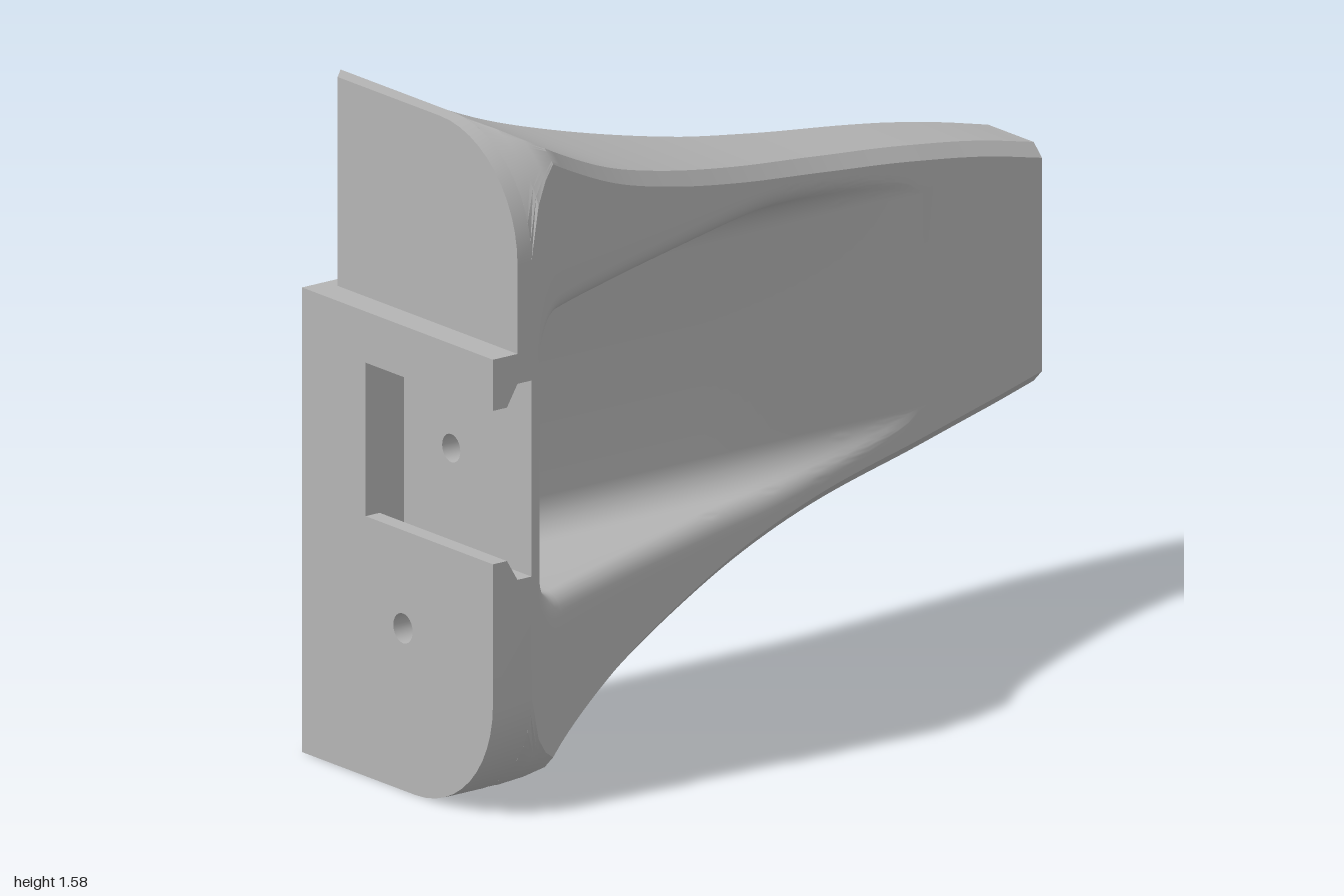
import * as THREE from 'three';
import { toCreasedNormals } from 'three/addons/utils/BufferGeometryUtils.js';

const MID = 0.79, LEFT = -0.89, R = 0.28, CH = 0.03;   // mirror height, body end, corner radius, edge chamfer
const FLOOR = -0.14, RA = 0.08, RB = 0.05;             // pocket floor, inner fillet, rim fillet
const WALL_X = -0.81, WALL_Y = 0.46;                   // pocket walls

const curve = (xs, vs) => {
  const c = new THREE.CubicInterpolant(xs, vs, 1);
  return x => c.evaluate(x)[0];
};
const bottomY = curve([-0.89, -0.7, -0.5, -0.3, 0, 0.3, 0.6, 0.85, 1],
  [0, 0.1, 0.19, 0.255, 0.33, 0.385, 0.43, 0.475, 0.51]);
const frontZ = curve([-0.89, -0.75, -0.5, -0.2, 0, 0.25, 0.45, 0.62, 0.8, 1],
  [0.37, 0.285, 0.18, 0.07, 0, -0.074, -0.115, -0.14, -0.165, -0.18]);
const backZ = x => -0.32 - 0.055 * THREE.MathUtils.clamp((x - 0.1) / 0.6, 0, 1);

// Lower front edge of the section at x: large rounding near the flange, chamfer elsewhere
function corner(x) {
  const n = 10, pts = [], f = frontZ(x), y = bottomY(x);
  const a0 = Math.asin(THREE.MathUtils.clamp((f - 0.09) / R, 0, 1));
  const a1 = Math.acos(THREE.MathUtils.clamp((R - y) / R, 0, 1));
  const round = R - R * Math.cos(a0) > y + CH;
  for (let i = 0; i <= n; i++) {
    const t = i / n, a = a0 + (a1 - a0) * t;
    pts.push(round ? [R - R * Math.cos(a), 0.09 + R * Math.sin(a)] : [y + CH * (1 - t), f - CH * t]);
  }
  return pts;
}

// Pocket cross-section from the floor centre to the outer edge, along wall normal (nx, ny)
function pocketRow(x, y, nx, ny, xo, yo) {
  const depth = Math.max(0, frontZ(x) - FLOOR), sum = RA + RB;
  const top = Math.acos(THREE.MathUtils.clamp((sum - depth) / sum, 0, 1));
  const base = Math.min(FLOOR, frontZ(x)), k = Math.abs(ny), pts = [], n = 6;
  const outer = -RA * k + (RA * k + RB) * Math.sin(top);
  const add = (s, z) => pts.push([x + nx * s, y + ny * s, z]);
  pts.push([x - nx * RA * k, MID, base]);
  for (let i = 0; i <= n; i++) {
    const a = top * i / n;
    add(RA * k * (Math.sin(a) - 1), base + RA * (1 - Math.cos(a)));
  }
  for (let i = n; i >= 0; i--) {
    const a = top * i / n, s = outer - RB * Math.sin(a);
    add(s, base + depth - RB * (1 - Math.cos(a)) + frontZ(Math.max(LEFT, x + nx * s)) - frontZ(x));
  }
  const [ex, ey] = pts[pts.length - 1];
  for (let i = 1; i <= 4; i++) {
    const px = ex + (xo - ex) * i / 4;
    pts.push([px, ey + (yo - ey) * i / 4, frontZ(px)]);
  }
  return pts;
}

// Skin rows of points and their mirror image about the middle height
function skin(rows, skip = () => false) {
  const pos = [], v = p => new THREE.Vector3(...p);
  const tri = (a, b, c) => {
    if (v(b).sub(v(a)).cross(v(c).sub(v(a))).length() < 1e-9) return;
    pos.push(...a, ...b, ...c);
    for (const p of [a, c, b]) pos.push(p[0], 2 * MID - p[1], p[2]);
  };
  for (let j = 0; j < rows.length - 1; j++)
    for (let r = 0; r < rows[j].length - 1; r++) {
      if (skip(j, r)) continue;
      const a = rows[j], b = rows[j + 1];
      tri(a[r], b[r], a[r + 1]);
      tri(b[r], b[r + 1], a[r + 1]);
    }
  const g = new THREE.BufferGeometry();
  g.setAttribute('position', new THREE.Float32BufferAttribute(pos, 3));
  return toCreasedNormals(g, 0.6);
}

// Shape from [z, y] points with optional round holes [z, y, radius]
function zyShape(pts, holes = [], sign = 1) {
  const s = new THREE.Shape(pts.map(([z, y]) => new THREE.Vector2(sign * z, y)));
  for (const [z, y, r] of holes) s.holes.push(new THREE.Path().absarc(sign * z, y, r, 0, Math.PI * 2, true));
  return s;
}
const face = (pts, holes, x, dir) =>
  new THREE.ShapeGeometry(zyShape(pts, holes, -dir), 12).rotateY(dir * Math.PI / 2).translate(x, 0, 0);
const blockX = (pts, holes, depth) => new THREE.ExtrudeGeometry(zyShape(pts, holes),
  { depth, bevelEnabled: false, curveSegments: 12 }).rotateY(-Math.PI / 2).translate(LEFT, 0, 0);
const rect = (z0, z1, y0, y1) => [[z0, y0], [z1, y0], [z1, y1], [z0, y1]];

// Full outline of the section at x as [z, y]
function outline(x) {
  const low = corner(x).map(([y, z]) => [z, y]).reverse();
  const half = [[backZ(x), bottomY(x)], ...low];
  return [...half, ...half.map(([z, y]) => [z, 2 * MID - y]).reverse()];
}

export function createModel() {
  const group = new THREE.Group();
  const grey = new THREE.MeshStandardMaterial({ color: 0xb4b4b4 });
  grey.name = 'plain grey';
  const inside = new THREE.MeshStandardMaterial({ color: 0xb4b4b4, side: THREE.DoubleSide });
  inside.name = 'plain grey bore';
  const add = (name, geometry, material = grey) => {
    const m = new THREE.Mesh(geometry, material);
    m.name = name;
    group.add(m);
  };

  // Front face with the pocket: straight run, rounded corner, then the end wall
  const rows = [], xs = [], straightEnd = WALL_X + RA, steps = 54, turn = 8;
  for (let i = 0; i <= steps; i++) {
    const x = 1 + (straightEnd - 1) * i / steps;
    xs.push(x);
    rows.push(pocketRow(x, WALL_Y, 0, -1, x, corner(x)[0][0]));
  }
  for (let i = 1; i <= turn; i++) {
    const a = i / turn * Math.PI / 2, nx = -Math.sin(a), ny = -Math.cos(a);
    const xo = Math.max(LEFT, straightEnd + (LEFT - straightEnd) * i / (turn / 2));
    const yEdge = corner(xo)[0][0];
    if (i <= turn / 2) xs.push(xo);
    const yo = yEdge + Math.max(0, i / turn - 0.5) * 2 * (WALL_Y + RA - yEdge);
    rows.push(pocketRow(straightEnd + nx * RA, WALL_Y + RA + ny * RA, nx, i === turn ? 0 : ny, xo, yo));
  }
  rows.push(pocketRow(WALL_X, MID, -1, 0, LEFT, MID));
  const last = rows.length - 2;
  add('frontFaceWithPocket', skin(rows, (j, r) => j === last && r < 8));

  // Top, bottom and back of the arm
  add('armShell', skin(xs.map(x => [
    ...corner(x).map(([y, z]) => [x, y, z]), [x, bottomY(x), backZ(x)], [x, MID, backZ(x)],
  ])));
  add('armTip', face(outline(1), [], 1, 1));

  // End wall of the pocket with a through hole
  const bore = [0.08, MID, 0.033];
  add('pocketEndWall', face(rect(FLOOR, frontZ(WALL_X) - RB, WALL_Y + RA, 2 * MID - WALL_Y - RA), [bore], WALL_X, 1));
  add('flangeInnerWall', face(outline(LEFT), [bore], LEFT, -1));
  add('throughHole', new THREE.CylinderGeometry(0.033, 0.033, WALL_X - LEFT, 24, 1, true)
    .rotateZ(Math.PI / 2).translate((WALL_X + LEFT) / 2, MID, 0.08), inside);

  // Mounting flange: rounded foot with a blind hole
  const arc = [];
  for (let i = 0; i <= 12; i++) {
    const a = i / 12 * Math.PI / 2;
    arc.push([0.09 + R * Math.sin(a), R - R * Math.cos(a)]);
  }
  add('flangeFoot', toCreasedNormals(
    blockX([[-0.32, 0], ...arc, [0.37, 0.56], [-0.32, 0.56]], [[0.045, 0.38, 0.035]], 0.11), 0.6));
  add('flangeSlotStop', blockX(rect(-0.32, -0.09, 0.56, 1.09), [], 0.11));

  // Upper flange, set back, with a chamfered rear edge
  const upper = blockX([[-0.32, 1.09], [0.37, 1.09],
    ...arc.map(([z, y]) => [z, 2 * MID - y]).reverse(), [-0.32, 1.58]], [], 0.04);
  const p = upper.attributes.position;
  for (let i = 0; i < p.count; i++)
    if (p.getX(i) < -0.92 && p.getZ(i) < -0.31) p.setZ(i, -0.28);
  add('flangeTop', toCreasedNormals(upper, 0.6));

  // Lips of the undercut slot
  const lips = {
    lowerSlotLip: [[-1, 0.56], [-0.93, 0.56], [-0.96, 0.61], [-1, 0.61]],
    upperSlotLip: [[-1, 0.97], [-0.96, 0.97], [-0.93, 1.02], [LEFT, 1.02], [LEFT, 1.09], [-1, 1.09]],
  };
  for (const [name, pts] of Object.entries(lips))
    add(name, new THREE.ExtrudeGeometry(new THREE.Shape(pts.map(q => new THREE.Vector2(...q))),
      { depth: 0.46, bevelEnabled: false }).translate(0, 0, -0.09));

  return group;
}
